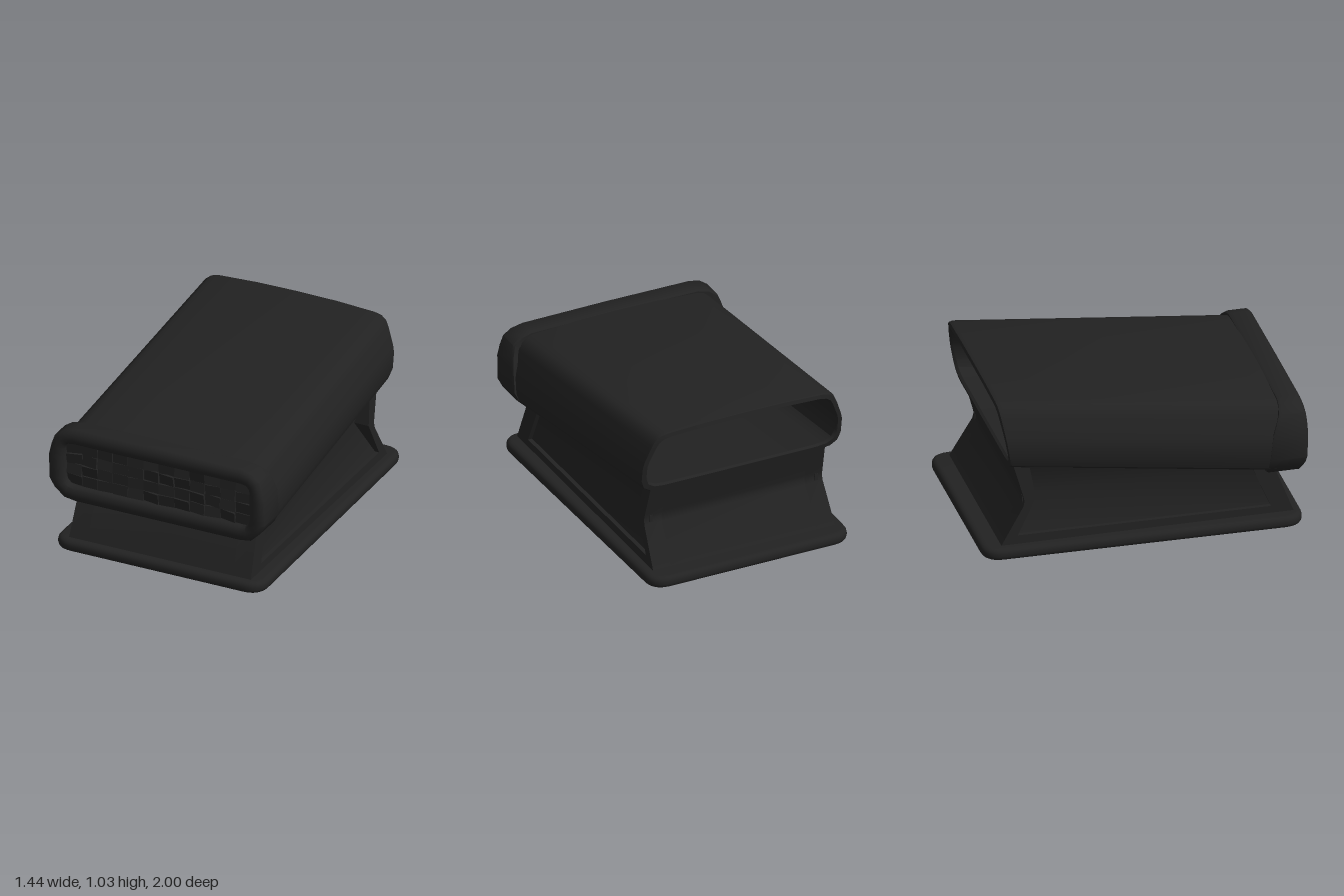
import * as THREE from 'three';
import { toCreasedNormals } from 'three/addons/utils/BufferGeometryUtils.js';

// Skin a list of closed rings (each an array of [x, y, z])
function loft(rings, crease = 0.6) {
  const n = rings[0].length, idx = [];
  for (let i = 0; i < rings.length - 1; i++) {
    for (let j = 0; j < n; j++) {
      const k = (j + 1) % n;
      const a = i * n + j, b = i * n + k, c = a + n, d = b + n;
      idx.push(a, b, c, b, d, c);
    }
  }
  const g = new THREE.BufferGeometry();
  g.setAttribute('position', new THREE.Float32BufferAttribute(rings.flat(2), 3));
  g.setIndex(idx);
  return toCreasedNormals(g, crease);
}

// Half outline from top centre to bottom centre, completed on the other side
const mirror = (half) => [...half, ...half.slice(1, -1).reverse().map(([x, y]) => [-x, y])];

// Housing cross-section: x as a share of half width, y as a share of height
const SECTION = mirror([[0, 1], [0.4, 0.993], [0.78, 0.965], [0.85, 0.94], [0.9, 0.88], [0.93, 0.78],
  [0.985, 0.55], [1, 0.45], [1, 0.22], [0.97, 0.09], [0.9, 0.02], [0.8, 0], [0, 0]]);
const section = (w, top, bottom, zTop, zBottom) => SECTION.map(([u, v]) =>
  [u * w, bottom + (top - bottom) * v, zBottom + (zTop - zBottom) * v]);

// Front rim outlines
const RIM_OUT = mirror([[0, 0.832], [0.56, 0.827], [0.63, 0.81], [0.685, 0.77], [0.705, 0.71], [0.72, 0.64],
  [0.72, 0.48], [0.69, 0.42], [0.625, 0.357], [0.55, 0.345], [0, 0.345]]);
const RIM_IN = mirror([[0, 0.73], [0.56, 0.73], [0.6, 0.725], [0.613, 0.71], [0.62, 0.69], [0.62, 0.64],
  [0.62, 0.5], [0.61, 0.47], [0.59, 0.45], [0.55, 0.445], [0, 0.445]]);
const rimRing = (t, zAt) => RIM_OUT.map(([x, y], i) => {
  const px = x + (RIM_IN[i][0] - x) * t, py = y + (RIM_IN[i][1] - y) * t;
  return [px, py, zAt(py)];
});
const bow = (z) => (y) => z - 0.02 * ((y - 0.6) / 0.25) ** 2;
const rimBack = (dz) => (y) => dz + (y < 0.6 ? 0.755 + (y - 0.345) * 0.04 : 0.765 + (y - 0.6) * 0.33);

export function createModel() {
  const model = new THREE.Group();
  const black = new THREE.MeshStandardMaterial({ color: 0x222222 });
  black.name = 'black plastic';
  const add = (name, geometry, parent = model) => {
    const mesh = new THREE.Mesh(geometry, black);
    mesh.name = name;
    parent.add(mesh);
    return mesh;
  };

  // Hollow housing, open at the back
  const end = section(0.65, 0.77, 0.42, 0.82, 0.78);
  add('housing', loft([
    section(0.7, 0.823, 0.365, 0.87, 0.8),
    section(0.67, 1.03, 0.585, -0.878, -0.815),
    section(0.668, 1.022, 0.592, -0.9, -0.828),
    section(0.64, 0.998, 0.618, -0.905, -0.835),
    section(0.63, 0.988, 0.628, -0.885, -0.82),
    end,
    end.map(() => [0, 0.6, 0.8]),
  ]));

  // Thick rounded rim around the front opening
  add('frontRim', loft([
    rimRing(1, () => 0.9),
    rimRing(1, bow(0.965)),
    rimRing(0.9, bow(0.985)),
    rimRing(0.65, bow(0.997)),
    rimRing(0.4, bow(1)),
    rimRing(0.15, bow(0.995)),
    rimRing(0, bow(0.978)),
    rimRing(0, rimBack(0.015)),
    rimRing(0.08, rimBack(0)),
    rimRing(0.45, rimBack(0.01)),
  ], 0.75));

  // Grille of uneven faceted tiles
  const grille = new THREE.Group();
  grille.name = 'grille';
  model.add(grille);
  let seed = 7;
  const rand = () => {
    seed = (seed * 16807) % 2147483647;
    return seed / 2147483647 - 0.5;
  };
  add('grilleBacking', new THREE.BoxGeometry(1.25, 0.3, 0.02), grille).position.set(0, 0.588, 0.915);
  const tile = new THREE.BoxGeometry(0.101, 0.068, 0.014);
  for (let row = 0; row < 4; row++) {
    for (let col = 0; col < 12; col++) {
      const t = add('grilleTile', tile, grille);
      t.position.set((col - 5.5) * 0.103, 0.482 + row * 0.071, 0.937 + rand() * 0.008);
      t.rotation.set(rand() * 0.4, rand() * 0.35, rand() * 0.08);
    }
  }

  // Base plate, slightly narrower at the back, with a rounded edge
  const plan = new THREE.Shape();
  const f = 0.667, b = 0.64, zf = -0.95, zb = 0.968, r = 0.09;
  plan.moveTo(-f + r, zf);
  plan.lineTo(f - r, zf);
  plan.quadraticCurveTo(f, zf, f, zf + r);
  plan.lineTo(b, zb - r);
  plan.quadraticCurveTo(b, zb, b - r, zb);
  plan.lineTo(-b + r, zb);
  plan.quadraticCurveTo(-b, zb, -b, zb - r);
  plan.lineTo(-f, zf + r);
  plan.quadraticCurveTo(-f, zf, -f + r, zf);
  const base = new THREE.ExtrudeGeometry(plan, {
    depth: 0.015, bevelThickness: 0.03, bevelSize: 0.032, bevelSegments: 4, curveSegments: 6,
  });
  base.rotateX(-Math.PI / 2).translate(0, 0.03, 0);
  add('basePlate', toCreasedNormals(base, 0.6));

  // Pedestal side profile as (z, y), with a waist at the back
  const profile = [[0.935, 0.06], [0.815, 0.37], [0.8, 0.385], [-0.805, 0.605], [-0.775, 0.5], [-0.742, 0.38],
    [-0.735, 0.35], [-0.742, 0.315], [-0.885, 0.07]];
  const panel = [[0.79, 0.12], [0.68, 0.38], [-0.7, 0.565], [-0.665, 0.36], [-0.78, 0.13]];
  const points = (list) => list.map(([z, y]) => new THREE.Vector2(z, y));
  const taper = (g) => {
    const p = g.attributes.position;
    for (let i = 0; i < p.count; i++) p.setX(i, p.getX(i) * (1 - 0.08 * (p.getY(i) - 0.08)));
    return g;
  };
  const slab = (shape, x0, x1) => {
    const g = new THREE.ExtrudeGeometry(shape, { depth: x1 - x0, bevelEnabled: false });
    g.rotateY(-Math.PI / 2).translate(x1, 0, 0);
    return toCreasedNormals(taper(g), 0.6);
  };
  add('pedestalCore', slab(new THREE.Shape(points(profile)), -0.49, 0.49));

  const frame = new THREE.Shape(points(profile));
  frame.holes.push(new THREE.Path(points(panel)));
  for (const side of [1, -1]) {
    // Frame around the recessed panel
    add('sideFrame', side > 0 ? slab(frame, 0.49, 0.61) : slab(frame, -0.61, -0.49));

    // Recessed panel folded inward towards the waist
    const g = new THREE.BufferGeometry();
    const pos = panel.flatMap(([z, y], i) => [side * (i === 3 ? 0.51 : 0.583), y, z]);
    g.setAttribute('position', new THREE.Float32BufferAttribute(pos, 3));
    g.setIndex(side > 0 ? [0, 3, 1, 1, 3, 2, 0, 4, 3] : [0, 1, 3, 1, 2, 3, 0, 3, 4]);
    g.computeVertexNormals();
    add('sidePanel', taper(g));

    // Small latch on the back of the waist
    add('rearLatch', new THREE.BoxGeometry(0.02, 0.045, 0.012)).position.set(side * 0.555, 0.35, -0.737);
  }
  return model;
}
